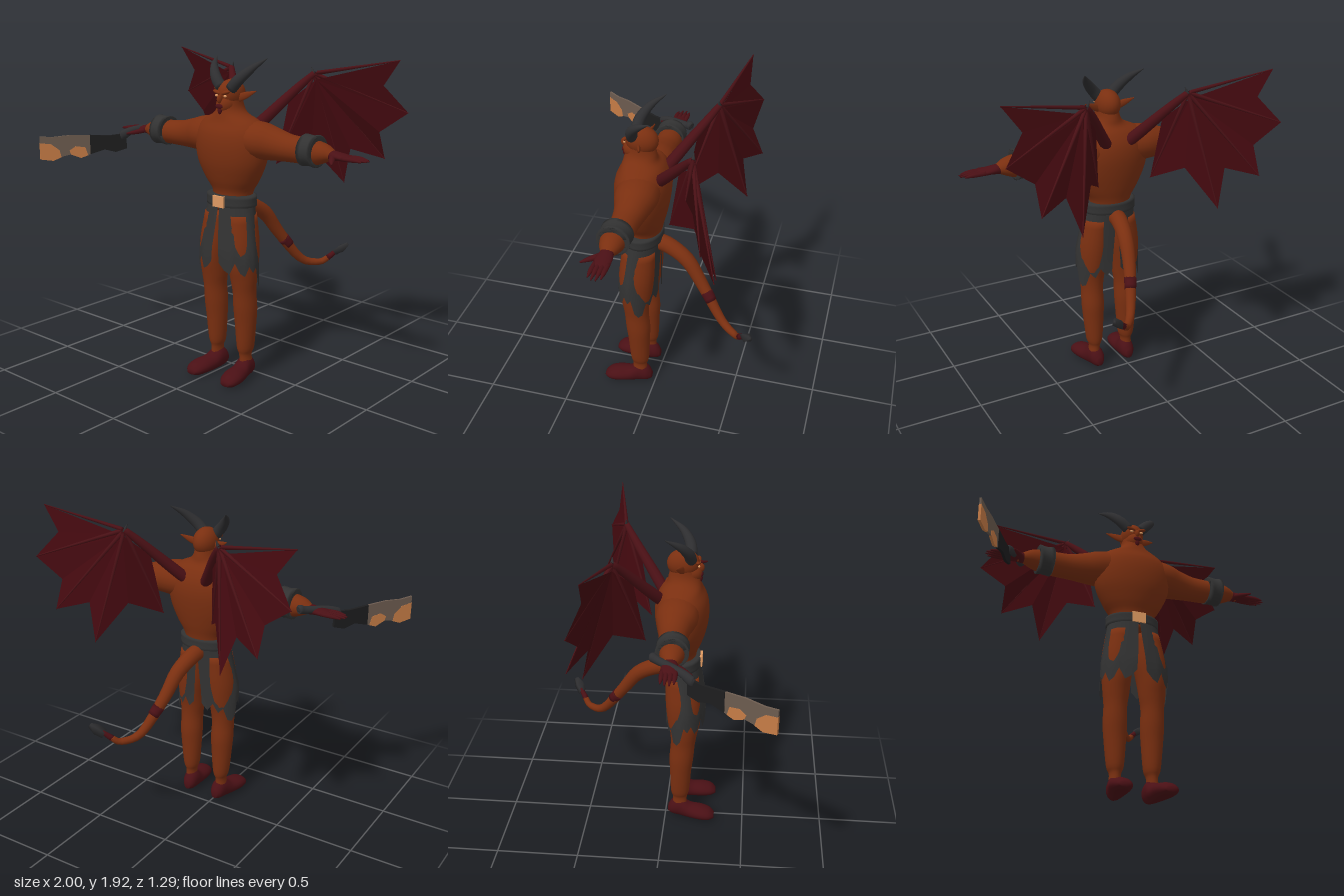
import * as THREE from 'three';

const mat = (name, color, opts = {}) => new THREE.MeshStandardMaterial({ name, color, ...opts });
const skin = mat('rust skin', 0x7a2f10);
const darkRed = mat('dark red', 0x4a1015);
const wingRed = mat('wing membrane', 0x43090f, { side: THREE.DoubleSide });
const cloth = mat('charcoal cloth', 0x323232, { side: THREE.DoubleSide });
const horn = mat('charcoal horn', 0x2e2e30);
const iron = mat('dark iron', 0x1d1d1e);
const steel = mat('worn steel', 0x6c5b4f);
const copper = mat('copper', 0xc67c46);
const brass = mat('buckle brass', 0xe09a62);

const V = (x, y, z) => new THREE.Vector3(x, y, z);
const X = V(1, 0, 0), Y = V(0, 1, 0), Z = V(0, 0, 1);

function add(parent, name, geo, material, pos) {
  const m = new THREE.Mesh(geo, material);
  m.name = name;
  if (pos) m.position.set(...pos);
  parent.add(m);
  return m;
}

// Closed smooth skin over elliptical sections [x, y, z, a, b]; b lies along ref, a across it
function loft(secs, ref, { dir, n = 20, sub = 4 } = {}) {
  const path = new THREE.CatmullRomCurve3(secs.map(s => V(s[0], s[1], s[2])), false, 'catmullrom');
  const size = new THREE.CatmullRomCurve3(secs.map(s => V(s[3], s[4], 0)), false, 'catmullrom');
  const rows = (secs.length - 1) * sub, pos = [], idx = [];
  for (let i = 0; i <= rows; i++) {
    const t = i / rows, c = path.getPoint(t), r = size.getPoint(t);
    const d = dir || path.getTangent(t);
    const u = d.clone().cross(ref).normalize(), v = u.clone().cross(d).normalize();
    for (let j = 0; j < n; j++) {
      const a = j / n * Math.PI * 2;
      const p = c.clone().addScaledVector(u, Math.cos(a) * r.x).addScaledVector(v, Math.sin(a) * r.y);
      pos.push(p.x, p.y, p.z);
      if (i < rows) {
        const k = i * n + j, l = i * n + (j + 1) % n;
        idx.push(k, k + n, l, l, k + n, l + n);
      }
    }
  }
  const first = secs[0], last = secs[secs.length - 1], c0 = pos.length / 3;
  pos.push(...first.slice(0, 3), ...last.slice(0, 3));
  for (let j = 0; j < n; j++) {
    const k = (j + 1) % n;
    idx.push(c0, j, k, c0 + 1, rows * n + k, rows * n + j);
  }
  const g = new THREE.BufferGeometry();
  g.setAttribute('position', new THREE.Float32BufferAttribute(pos, 3));
  g.setIndex(idx);
  g.computeVertexNormals();
  return g;
}
const flip = (secs, s) => secs.map(([x, ...r]) => [x * s, ...r]);
const ball = (rx, ry, rz) => new THREE.SphereGeometry(1, 24, 16).scale(rx, ry, rz);

// One half of the torn skirt, from the front slit round to the back slit
function skirtHalf(s) {
  const hem = [.74, .70, .68, .75, .69, .67, .73, .69, .72, .62, .59, .60, .68, .65, .71, .66, .70];
  const rows = 8, n = hem.length, pos = [], idx = [];
  for (let i = 0; i <= rows; i++) for (let j = 0; j < n; j++) {
    const t = i / rows, gap = .02 + .12 * t, a = gap + (Math.PI - 2 * gap) * j / (n - 1);
    const w = Math.min(1, t * 1.3);
    pos.push(s * (.155 + .055 * w) * Math.sin(a), 1.09 + (hem[j] - 1.09) * t,
      .095 + .025 * w + (.112 + .013 * w) * Math.cos(a));
    if (i < rows && j < n - 1) {
      const k = i * n + j;
      const q = [k, k + n, k + 1, k + 1, k + n, k + n + 1];
      idx.push(...(s > 0 ? q : q.reverse()));
    }
  }
  const g = new THREE.BufferGeometry();
  g.setAttribute('position', new THREE.Float32BufferAttribute(pos, 3));
  g.setIndex(idx);
  g.computeVertexNormals();
  return g;
}

function buildWing(s) {
  const wing = new THREE.Group();
  wing.name = s > 0 ? 'leftWing' : 'rightWing';
  const wrist = [.315, 1.82, -.27], inner = [.33, 1.785, -.27];
  // Finger tips alternate with the valleys of the scalloped edge
  const edge = [[.825, 1.915, -.36], [.72, 1.77, -.37], [.845, 1.62, -.44], [.68, 1.5, -.41], [.68, 1.335, -.48],
    [.50, 1.385, -.39], [.43, 1.165, -.44], [.30, 1.385, -.28], [.17, 1.295, -.11], [.21, 1.66, -.17]];
  const pos = [];
  for (let i = 0; i < edge.length - 1; i++)
    for (const p of [inner, edge[i + 1], edge[i]]) pos.push(p[0] * s, p[1], p[2]);
  const g = new THREE.BufferGeometry();
  g.setAttribute('position', new THREE.Float32BufferAttribute(pos, 3));
  g.computeVertexNormals();
  add(wing, 'wingMembrane', g, wingRed);
  add(wing, 'wingArm', loft(flip([[.05, 1.48, .0, .035, .035], [.13, 1.58, -.08, .034, .034],
    [.24, 1.73, -.2, .026, .026], [...wrist, .018, .018]], s), X, { n: 10 }), darkRed);
  for (let i = 0; i < 9; i += 2)
    add(wing, 'wingFinger', loft(flip([[...wrist, .013, .013], [...edge[i], .003, .003]], s), Z, { n: 6 }), darkRed);
  add(wing, 'wingClaw', loft(flip([[.315, 1.81, -.27, .014, .014], [.295, 1.855, -.27, .002, .002]], s), Z, { n: 8 }), horn);
  return wing;
}

function buildSide(s) {
  const g = new THREE.Group();
  g.name = s > 0 ? 'leftLimbs' : 'rightLimbs';
  const part = (name, secs, ref, m, o) => add(g, name, loft(flip(secs, s), ref, o), m);
  // Arm, armband and hand
  part('arm', [[.05, 1.46, .08, .12, .11], [.2, 1.46, .075, .122, .108], [.3, 1.45, .07, .098, .093],
    [.4, 1.44, .07, .08, .078], [.5, 1.438, .072, .077, .073], [.58, 1.438, .08, .072, .07],
    [.65, 1.44, .08, .058, .052], [.70, 1.435, .08, .034, .028], [.73, 1.43, .08, .03, .02]], Y, skin);
  part('armband', [[.515, 1.445, .08, .08, .08], [.518, 1.445, .08, .092, .09], [.565, 1.445, .08, .086, .084],
    [.602, 1.445, .08, .092, .09], [.605, 1.445, .08, .07, .07]], Y, cloth, { sub: 2 });
  part('palm', [[.69, 1.435, .08, .036, .03], [.74, 1.435, .08, .045, .022], [.8, 1.43, .08, .045, .016],
    [.82, 1.43, .08, .03, .01]], Y, darkRed);
  [.045, .068, .092, .115].forEach((z, i) => part('finger', [[.78, 1.432, z, .013, .012],
    [.85, 1.432, z, .013, .012], [.9 + (i % 3 ? .018 : 0), 1.428, z, .004, .004]], Y, darkRed, { n: 8 }));
  part('thumb', [[.71, 1.43, .1, .018, .016], [.74, 1.42, .15, .016, .014], [.775, 1.412, .2, .005, .005]], Y, darkRed, { n: 8 });
  // Leg and foot
  part('leg', [[.115, .09, .095, .035, .045], [.112, .15, .095, .033, .045], [.112, .2, .095, .05, .058],
    [.114, .35, .098, .064, .067], [.115, .45, .102, .07, .075], [.115, .55, .11, .068, .075],
    [.113, .63, .115, .077, .083], [.11, .72, .115, .085, .1], [.1, .85, .11, .095, .108],
    [.085, 1.02, .1, .08, .1]], Z, skin, { dir: Y });
  part('foot', [[.105, .05, .02, .025, .02], [.107, .065, .05, .055, .042], [.11, .07, .1, .068, .05],
    [.12, .05, .16, .05, .058], [.13, .045, .23, .045, .066], [.135, .038, .285, .036, .056],
    [.135, .03, .317, .015, .03]], X, darkRed, { dir: Z });
  // Horn, ear and eye
  part('horn', [[.035, 1.745, .14, .034, .034], [.085, 1.80, .13, .032, .032], [.14, 1.86, .085, .022, .022],
    [.187, 1.915, .005, .002, .002]], Z, horn, { n: 14 });
  part('ear', [[.05, 1.69, .10, .012, .024], [.1, 1.71, .085, .009, .02], [.158, 1.735, .065, .002, .003]], Y, skin, { n: 10 });
  add(g, 'eye', ball(.012, .007, .006), brass, [s * .032, 1.708, .187]);
  add(g, 'brow', ball(.03, .011, .014), skin, [s * .032, 1.727, .182]).rotation.z = s * .3;
  add(g, 'skirtHalf', skirtHalf(s), cloth);
  g.add(buildWing(s));
  return g;
}

function buildSword() {
  const sword = new THREE.Group();
  sword.name = 'cleaver';
  const plate = (name, pts, depth, m) => {
    const shape = new THREE.Shape(pts.map(p => new THREE.Vector2(...p)));
    add(sword, name, new THREE.ExtrudeGeometry(shape, { depth, bevelEnabled: false }).translate(0, 0, -depth / 2), m);
  };
  plate('bladeBase', [[0, 1.315], [.07, 1.295], [.14, 1.315], [.23, 1.29], [.23, 1.41], [.1, 1.402], [0, 1.41]], .016, iron);
  plate('blade', [[.23, 1.29], [.29, 1.27], [.35, 1.295], [.40, 1.285], [.46, 1.262], [.538, 1.275], [.538, 1.415],
    [.46, 1.408], [.35, 1.416], [.23, 1.41]], .012, steel);
  plate('rustPatch', [[.245, 1.284], [.29, 1.269], [.35, 1.294], [.36, 1.32], [.32, 1.345], [.26, 1.335]], .015, copper);
  plate('rustPatch', [[.41, 1.281], [.46, 1.261], [.539, 1.274], [.539, 1.375], [.47, 1.365], [.42, 1.325]], .015, copper);
  add(sword, 'handle', loft([[-.24, 1.46, 0, .012, .012], [-.23, 1.46, 0, .026, .026], [-.19, 1.45, 0, .022, .022],
    [-.05, 1.43, 0, .022, .022], [.02, 1.4, 0, .022, .03], [.04, 1.395, 0, .01, .02]], Y, { n: 12 }), horn);
  sword.position.set(-.72, 0, .18);
  sword.rotation.y = Math.atan2(-.46, -.28);
  return sword;
}

export function createModel() {
  const model = new THREE.Group();
  model.name = 'hornedWarrior';
  const body = new THREE.Group();
  body.name = 'body';
  body.position.x = .08;
  model.add(body, buildSword());

  // Torso and head
  const torso = [[1.04, .13, .1, .09], [1.14, .13, .1, .08], [1.22, .18, .125, .085], [1.32, .228, .15, .09],
    [1.42, .245, .16, .09], [1.5, .235, .15, .09], [1.56, .19, .122, .09], [1.6, .105, .1, .1],
    [1.64, .07, .09, .1], [1.7, .06, .075, .1]].map(([y, a, b, z]) => [0, y, z, a, b]);
  add(body, 'torso', loft(torso, Z, { dir: Y, n: 32 }), skin);
  add(body, 'head', ball(.07, .083, .095), skin, [0, 1.714, .095]);
  add(body, 'jaw', ball(.055, .06, .07), skin, [0, 1.655, .135]);
  add(body, 'nose', ball(.014, .026, .02), skin, [0, 1.69, .197]);
  add(body, 'mouth', ball(.026, .014, .008), darkRed, [0, 1.65, .202]);
  add(body, 'chinTuft', ball(.014, .022, .012), darkRed, [0, 1.625, .195]);

  // Belt and buckle
  add(body, 'belt', loft([[0, 1.065, .092, .14, .1], [0, 1.068, .092, .165, .118], [0, 1.1, .092, .164, .117],
    [0, 1.128, .092, .165, .118], [0, 1.133, .092, .135, .1]], Z, { dir: Y, n: 32, sub: 2 }), cloth);
  add(body, 'buckle', new THREE.BoxGeometry(.084, .066, .02), brass, [0, 1.098, .207]);

  // Tail with darker band, end and spade
  add(body, 'tail', loft([[0, 1.04, .04, .05, .05], [.005, 1.035, -.05, .05, .05], [.03, .965, -.18, .045, .045],
    [.06, .83, -.28, .037, .037], [.13, .64, -.42, .027, .027], [.205, .605, -.52, .021, .021],
    [.25, .635, -.56, .018, .018]], X, { n: 14 }), skin);
  add(body, 'tailBand', loft([[.073, .785, -.313, .037, .037], [.093, .735, -.35, .034, .034]], X, { n: 14 }), darkRed);
  add(body, 'tailEnd', loft([[.245, .63, -.555, .019, .019], [.29, .68, -.595, .013, .013]], X, { n: 12 }), darkRed);
  add(body, 'tailSpade', loft([[.28, .665, -.585, .03, .016], [.315, .695, -.61, .034, .03],
    [.345, .725, -.635, .016, .012]], X, { n: 4, sub: 1 }), horn);

  for (const s of [1, -1]) body.add(buildSide(s));
  return model;
}
